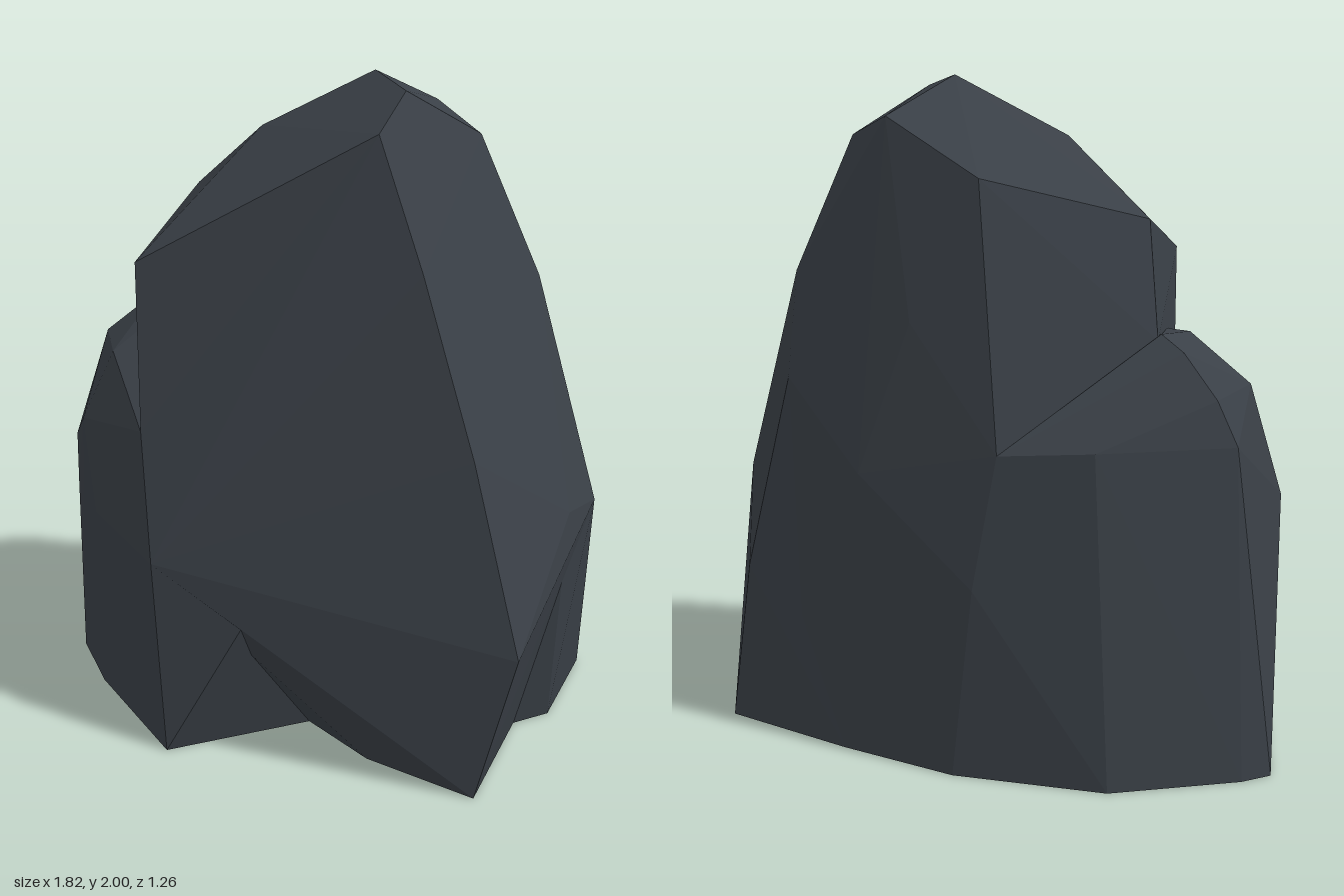
import * as THREE from 'three';
import { ConvexGeometry } from 'three/addons/geometries/ConvexGeometry.js';

// A boulder chunk: the faceted hull of a few corner points
function chunk(name, corners, material) {
  const points = corners.map((c) => new THREE.Vector3(...c));
  const mesh = new THREE.Mesh(new ConvexGeometry(points), material);
  mesh.name = name;
  return mesh;
}

export function createModel() {
  const group = new THREE.Group();
  group.name = 'boulder';
  const slate = new THREE.MeshStandardMaterial({ color: 0x3a4047 });
  slate.name = 'dark slate';

  // Tall slab with a sloping top, undercut along its front foot
  const crown = [
    [0.18, 2, -0.12], [0.36, 1.97, 0.03], [0.36, 1.87, 0.19], [0.48, 1.82, -0.23],
    [0.24, 1.88, -0.42], [-0.16, 1.82, -0.03], [-0.09, 1.71, -0.46],
    [-0.48, 1.59, -0.15], [-0.34, 1.46, 0.4],
  ];
  const flanks = [
    [-0.54, 1.25, -0.22], [-0.25, 0.98, 0.52], [-0.21, 0.95, -0.58],
    [0.53, 1.5, 0.235], [0.73, 1.0, 0.29], [0.66, 1.4, -0.29],
    [0.38, 1.5, -0.46], [0.55, 1.1, -0.5], [0.1, 1.3, -0.53], [0.25, 0.85, -0.585],
    [-0.17, 0.6, 0.6], [0.18, 0.57, 0.51], [0.4, 0.48, 0.46],
    [0.91, 0.45, 0.34], [0.89, 0.76, -0.05], [0.9, 0.74, -0.23],
  ];
  const foot = [
    [0.18, 0, 0.26], [0.44, 0, 0.36], [0.81, 0, 0.39], [0.74, 0, -0.06],
    [0.66, 0, -0.55], [0.3, 0, -0.61], [-0.09, 0, -0.635], [-0.15, 0.56, -0.62], [-0.5, 0, 0],
  ];
  group.add(chunk('tallSlab', [...crown, ...flanks, ...foot], slate));

  // Buttress filling the rear right corner
  group.add(chunk('rearButtress', [
    [0.89, 0.76, -0.05], [0.9, 0.74, -0.23], [0.66, 1.4, -0.29], [0.55, 1.1, -0.5],
    [0.69, 0.5, -0.54], [0.76, 0, -0.55], [0.81, 0, -0.17], [0.74, 0, -0.06],
    [0.3, 0, -0.61], [0.3, 0, -0.1],
  ], slate));

  // Lower shoulder leaning on the slab
  group.add(chunk('sideShoulder', [
    // rounded top
    [-0.55, 1.27, -0.22], [-0.44, 1.24, 0.09], [-0.55, 1.25, 0], [-0.64, 1.23, -0.27],
    [-0.55, 1.11, 0.25], [-0.74, 1.1, -0.26], [-0.73, 1.1, 0.04],
    // walls
    [-0.8, 0.97, -0.25], [-0.8, 0.75, 0.14], [-0.77, 0.6, 0.18], [-0.65, 0.88, 0.29],
    [-0.55, 0.6, 0.37], [-0.25, 0.98, 0.52], [-0.17, 0.6, 0.6],
    [-0.21, 0.95, -0.58], [-0.48, 0.97, -0.51], [-0.15, 0.56, -0.62],
    [0.18, 0.57, 0.51],
    // foot
    [-0.91, 0, -0.21], [-0.85, 0, -0.29], [-0.75, 0, 0.21], [-0.54, 0, 0.38],
    [-0.11, 0, 0.63], [0.18, 0, 0.26], [-0.54, 0, -0.54], [-0.09, 0, -0.635],
  ], slate));

  return group;
}
